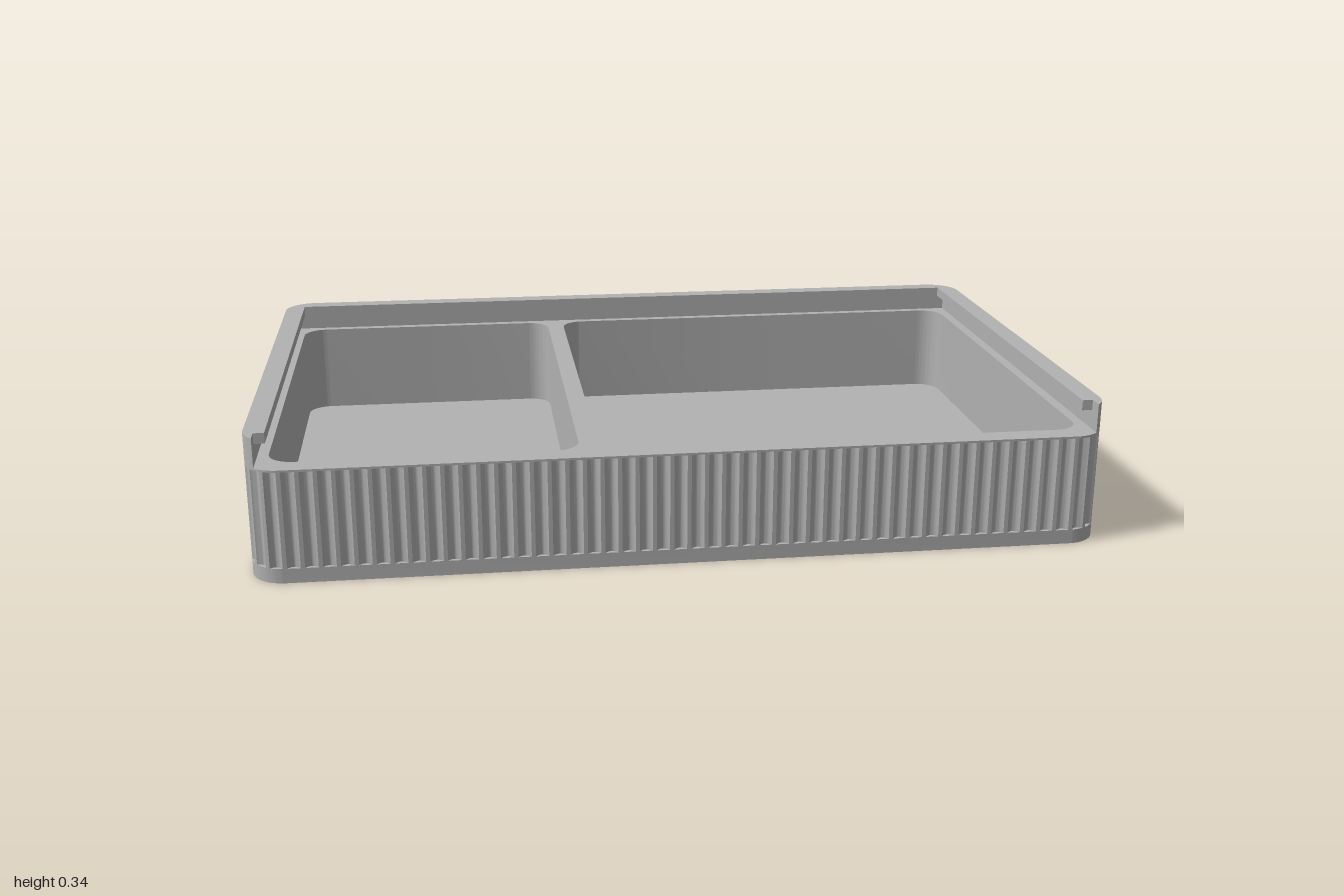
import * as THREE from 'three';
import { toCreasedNormals } from 'three/addons/utils/BufferGeometryUtils.js';

const W = 1, D = 0.635, R = 0.08;              // half width, half depth, corner radius
const FLOOR = 0.035, FLUTE_TOP = 0.265, RIM = 0.27, LIP = 0.315, TOP = 0.34;

// Rounded rectangle, counter-clockwise, starting in the middle of one long side
function roundedRect(x0, x1, z0, z1, r, path = new THREE.Shape()) {
  path.moveTo((x0 + x1) / 2, z0);
  path.lineTo(x1 - r, z0);
  path.absarc(x1 - r, z0 + r, r, -Math.PI / 2, 0, false);
  path.lineTo(x1, z1 - r);
  path.absarc(x1 - r, z1 - r, r, 0, Math.PI / 2, false);
  path.lineTo(x0 + r, z1);
  path.absarc(x0 + r, z1 - r, r, Math.PI / 2, Math.PI, false);
  path.lineTo(x0, z0 + r);
  path.absarc(x0 + r, z0 + r, r, Math.PI, Math.PI * 1.5, false);
  path.lineTo((x0 + x1) / 2, z0);
  return path;
}

// Outline with shallow concave flutes all the way round
function flutedOutline(count, depth, fill) {
  const base = roundedRect(-W, W, -D, D, R);
  const pts = [], steps = 6;
  for (let i = 0; i < count; i++) {
    for (let j = 0; j <= steps; j++) {
      const s = j / steps;
      const t = (i + 0.5 + (s - 0.5) * fill) / count;
      const p = base.getPoint(t), d = base.getTangent(t);
      const inset = depth * (1 - (2 * s - 1) ** 2);
      pts.push(new THREE.Vector2(p.x - d.y * inset, p.y + d.x * inset));
    }
  }
  return new THREE.Shape(pts);
}

// U-shaped rail open to the front; the inner edge comes from a few points
function railShape(inner) {
  const cx = W - R, cz = D - R, a = Math.acos((0.975 - cx) / R);
  const s = new THREE.Shape();
  s.absarc(cx, cz, R, a, 0, true);
  s.lineTo(W, -cz);
  s.absarc(cx, -cz, R, 0, -Math.PI / 2, true);
  s.lineTo(-cx, -D);
  s.absarc(-cx, -cz, R, -Math.PI / 2, -Math.PI, true);
  s.lineTo(-W, cz);
  s.absarc(-cx, cz, R, Math.PI, Math.PI - a, true);
  inner.forEach(([x, z]) => s.lineTo(-x, z));
  [...inner].reverse().forEach(([x, z]) => s.lineTo(x, z));
  return s;
}

export function createModel() {
  const model = new THREE.Group();
  model.name = 'dividedTray';
  const grey = new THREE.MeshStandardMaterial({ color: 0xb2b2b2 });
  grey.name = 'grey';

  // Extrude a plan shape between two heights
  const slab = (name, shape, y0, y1) => {
    const g = new THREE.ExtrudeGeometry(shape, { depth: y1 - y0, bevelEnabled: false, curveSegments: 10 });
    g.rotateX(Math.PI / 2).translate(0, y1, 0);
    const mesh = new THREE.Mesh(toCreasedNormals(g, 0.5), grey);
    mesh.name = name;
    model.add(mesh);
  };

  // Two compartments cut through the walls
  const withPockets = (shape) => {
    shape.holes.push(
      roundedRect(-0.95, -0.245, -0.59, 0.58, 0.06, new THREE.Path()),
      roundedRect(-0.2, 0.95, -0.59, 0.58, 0.06, new THREE.Path()));
    return shape;
  };

  slab('floor', roundedRect(-W, W, -D, D, R), 0, FLOOR);
  slab('flutedWalls', withPockets(flutedOutline(160, 0.01, 0.76)), FLOOR, FLUTE_TOP);
  slab('rim', withPockets(roundedRect(-W, W, -D, D, R)), FLUTE_TOP, RIM);

  // Groove for a sliding lid, with an overhanging lip
  slab('lidGrooveWall', railShape([[0.975, -0.612]]), RIM, LIP);
  slab('lidGrooveLip', railShape([[0.975, 0.577], [0.95, 0.577], [0.95, -0.59]]), LIP, TOP);

  return model;
}
